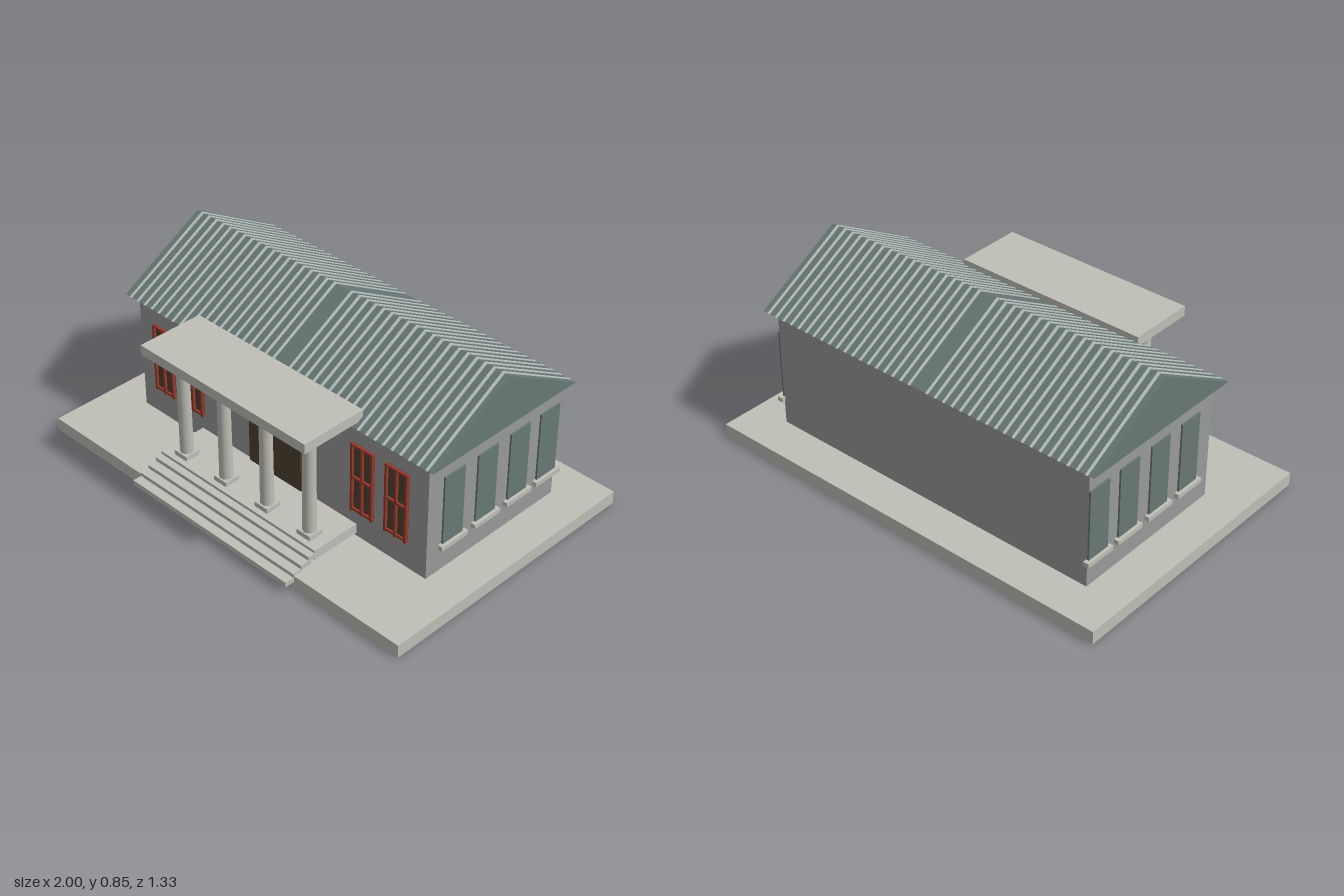
import * as THREE from 'three';

const mat = (name, color) => {
  const m = new THREE.MeshStandardMaterial({ color });
  m.name = name;
  return m;
};

export function createModel() {
  const stone = mat('pale stone', 0xbfbfb7);
  const wall = mat('grey wall', 0x999a9a);
  const teal = mat('slate teal', 0x687876);
  const ribMat = mat('light roof rib', 0xbcc4c2);
  const brown = mat('dark brown wood', 0x4c4230);
  const red = mat('red frame', 0x96382a);

  const model = new THREE.Group();
  model.name = 'porticoHouse';

  const add = (name, geometry, material, parent = model) => {
    const m = new THREE.Mesh(geometry, material);
    m.name = name;
    parent.add(m);
    return m;
  };
  // Box given by its minimum and maximum along each axis
  const box = (name, material, [x0, x1], [y0, y1], [z0, z1], parent = model) => {
    const g = new THREE.BoxGeometry(x1 - x0, y1 - y0, z1 - z0);
    g.translate((x0 + x1) / 2, (y0 + y1) / 2, (z0 + z1) / 2);
    return add(name, g, material, parent);
  };
  // Profile in (z, y), extruded along x
  const profile = (points, x0, x1) => {
    const s = new THREE.Shape(points.map(([z, y]) => new THREE.Vector2(z, y)));
    const g = new THREE.ExtrudeGeometry(s, { depth: x1 - x0, bevelEnabled: false });
    g.rotateY(-Math.PI / 2);
    g.translate(x1, 0, 0);
    return g;
  };

  // Ground slab and main block
  box('groundSlab', stone, [-1, 1], [0, 0.06], [-0.685, 0.6]);
  box('walls', wall, [-0.82, 0.82], [0.06, 0.605], [-0.502, 0.255]);

  // Gabled roof with raised ribs
  const roof = new THREE.Group();
  roof.name = 'roof';
  model.add(roof);
  add('gableRoof', profile([[0.288, 0.612], [-0.125, 0.846], [-0.538, 0.612]], -0.868, 0.866), teal, roof);
  const chevron = [[0.291, 0.613], [-0.125, 0.851], [-0.541, 0.613], [-0.52, 0.613], [-0.125, 0.838], [0.27, 0.613]];
  const ribGeo = profile(chevron, -0.006, 0.006);
  for (let i = 0; i < 19; i++) {
    for (const s of [-1, 1]) add('roofRib', ribGeo, ribMat, roof).position.x = s * (0.047 + i * 0.0437);
  }

  // Portico: platform, steps, columns and flat canopy
  const portico = new THREE.Group();
  portico.name = 'portico';
  model.add(portico);
  box('platform', stone, [-0.45, 0.45], [0.073, 0.118], [0.25, 0.487], portico);
  for (let i = 0; i < 4; i++) {
    const top = 0.105 - i * 0.0173, front = 0.52 + i * 0.0415;
    box('step', stone, [-0.45, 0.45], [top - 0.023, top], [front - 0.055, front], portico);
  }
  box('canopy', stone, [-0.465, 0.46], [0.625, 0.67], [0.237, 0.547], portico);
  const shaft = new THREE.CylinderGeometry(0.027, 0.029, 0.46, 24);
  for (const x of [-0.36, -0.12, 0.12, 0.36]) {
    const px = [x - 0.036, x + 0.036], pz = [0.389, 0.461];
    box('columnBase', stone, px, [0.116, 0.14], pz, portico);
    add('columnShaft', shaft, stone, portico).position.set(x, 0.37, 0.425);
    box('columnCapital', stone, px, [0.6, 0.626], pz, portico);
  }

  // Front door
  box('door', brown, [-0.15, 0.15], [0.118, 0.49], [0.25, 0.267]);

  // Front windows with a red lattice
  for (const x of [-0.668, -0.488, 0.488, 0.668]) {
    const win = new THREE.Group();
    win.name = 'frontWindow';
    model.add(win);
    box('pane', brown, [x - 0.055, x + 0.055], [0.195, 0.512], [0.25, 0.262], win);
    for (const dx of [-0.053, 0, 0.053]) {
      box('verticalBar', red, [x + dx - 0.005, x + dx + 0.005], [0.19, 0.518], [0.26, 0.274], win);
    }
    for (const y of [0.2, 0.356, 0.51]) {
      box('horizontalBar', red, [x - 0.061, x + 0.061], [y - 0.005, y + 0.005], [0.26, 0.272], win);
    }
  }

  // Side windows with sills, mirrored on both ends
  for (const s of [-1, 1]) {
    const span = (a, b) => (s > 0 ? [a, b] : [-b, -a]);
    for (const z of [0.115, -0.075, -0.265, -0.445]) {
      box('sideWindow', teal, span(0.815, 0.828), [0.188, 0.51], [z - 0.057, z + 0.057]);
      box('windowSill', stone, span(0.815, 0.842), [0.17, 0.19], [z - 0.075, z + 0.075]);
    }
  }
  return model;
}
